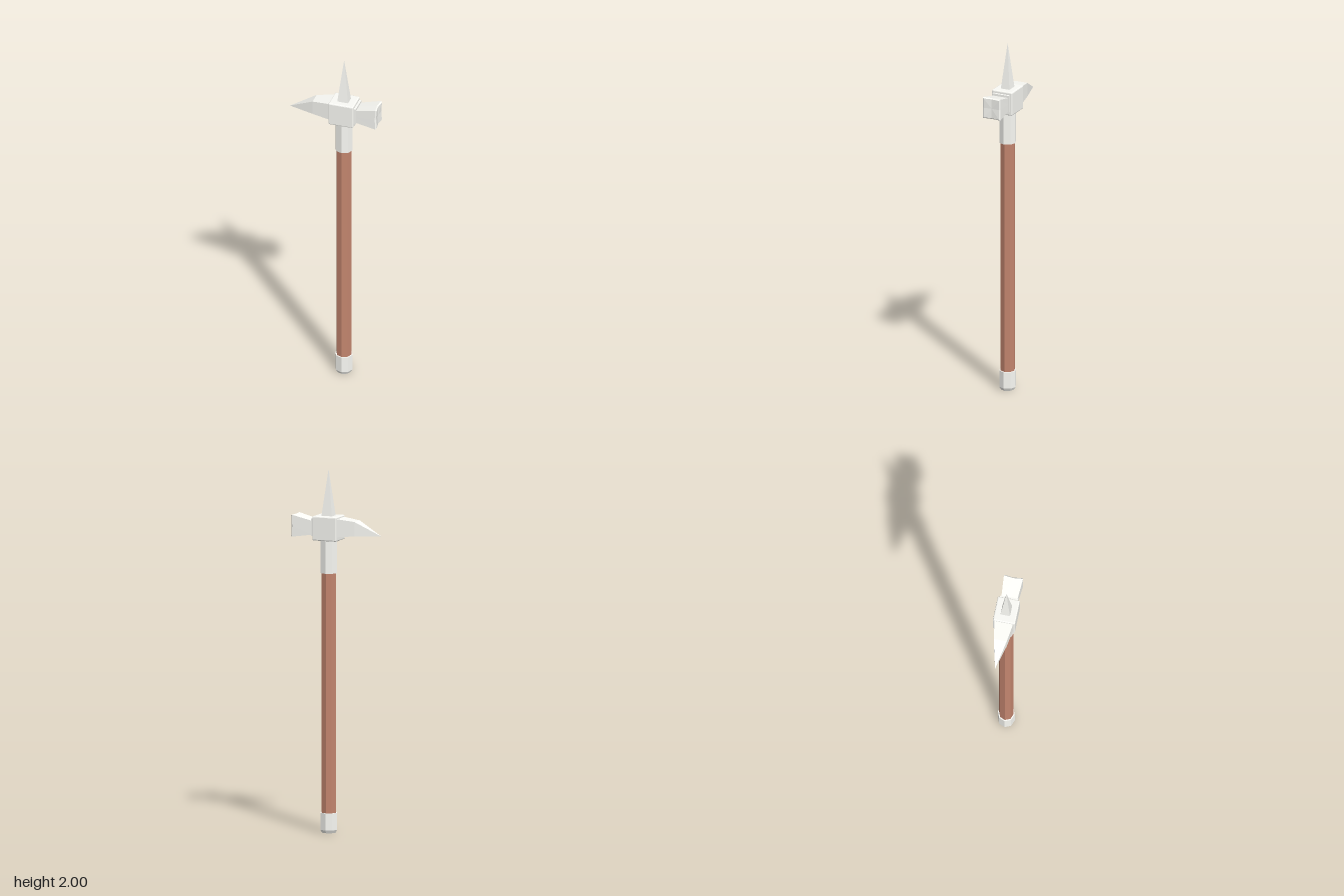
import * as THREE from 'three';
import { RoundedBoxGeometry } from 'three/addons/geometries/RoundedBoxGeometry.js';

const AXIS_X = 0.053; // centre line of the shaft
const steel = new THREE.MeshStandardMaterial({ color: 0xfbfbf6, flatShading: true });
const wood = new THREE.MeshStandardMaterial({ color: 0xc4866f, flatShading: true });

// Rectangular cross-section of 8 points; edge midpoints shift in x by dip (half as much at the sides)
function ring(x, yLow, yHigh, halfZ, dip = 0) {
  const cy = (yLow + yHigh) / 2, hy = (yHigh - yLow) / 2;
  const dirs = [[1, 0], [1, 1], [0, 1], [-1, 1], [-1, 0], [-1, -1], [0, -1], [1, -1]];
  return dirs.map(([u, v]) => {
    const shift = u && v ? 0 : u ? dip : dip / 2;
    return new THREE.Vector3(x - shift, cy + u * hy, v * halfZ);
  });
}

// Skin over rings running towards +x, closed at both ends
function loft(rings, endDip = 0) {
  const pos = [];
  const tri = (...pts) => pts.forEach((p) => pos.push(p.x, p.y, p.z));
  const centre = (r) => r.reduce((s, p) => s.add(p), new THREE.Vector3()).divideScalar(r.length);
  const first = rings[0], last = rings[rings.length - 1];
  const c0 = centre(first), c1 = centre(last);
  c1.x = last[1].x - endDip;
  for (let j = 0; j < 8; j++) {
    const k = (j + 1) % 8;
    for (let i = 0; i < rings.length - 1; i++) {
      const a = rings[i], b = rings[i + 1];
      tri(a[j], a[k], b[k]);
      tri(a[j], b[k], b[j]);
    }
    tri(c0, first[k], first[j]);
    tri(c1, last[j], last[k]);
  }
  const g = new THREE.BufferGeometry();
  g.setAttribute('position', new THREE.Float32BufferAttribute(pos, 3));
  g.computeVertexNormals();
  return g;
}

export function createModel() {
  const group = new THREE.Group();
  const add = (name, geometry, material = steel) => {
    const mesh = new THREE.Mesh(geometry, material);
    mesh.name = name;
    group.add(mesh);
    return mesh;
  };
  // Upright eight-sided section, slightly narrower in z
  const octagon = (name, y0, y1, r0, r1, material) => {
    const g = new THREE.CylinderGeometry(r1, r0, y1 - y0, 8);
    g.scale(1, 1, 0.95);
    g.translate(AXIS_X, (y0 + y1) / 2, 0);
    return add(name, g, material);
  };

  // Shaft and its metal fittings
  octagon('handle', 0.1, 1.45, 0.042, 0.042, wood);
  octagon('pommelChamfer', 0, 0.016, 0.04, 0.049);
  octagon('pommel', 0.016, 0.11, 0.049, 0.049);
  octagon('collar', 1.428, 1.62, 0.049, 0.049);

  // Head block with chamfered edges
  add('headBlock', new RoundedBoxGeometry(0.142, 0.134, 0.123, 1, 0.006))
    .position.set(AXIS_X + 0.001, 1.676, 0);

  // Four-sided top spike
  const spike = new THREE.ConeGeometry(Math.SQRT1_2, 1, 4);
  spike.rotateY(Math.PI / 4);
  spike.scale(0.062, 0.26, 0.053);
  spike.translate(AXIS_X + 0.001, 1.87, 0);
  add('topSpike', spike);

  // Drooping beak
  add('beak', loft([
    ring(-0.255, 1.646, 1.647, 0.0005),
    ring(-0.115, 1.642, 1.721, 0.036),
    ring(-0.01, 1.633, 1.734, 0.052),
  ]));

  // Neck plate and flared hammer with a hollowed face
  add('hammerNeck', loft([
    ring(0.12, 1.632, 1.728, 0.05),
    ring(0.137, 1.632, 1.728, 0.05),
  ]));
  add('hammer', loft([
    ring(0.13, 1.639, 1.714, 0.044),
    ring(0.249, 1.622, 1.743, 0.053, 0.006),
    ring(0.255, 1.628, 1.737, 0.047, 0.006),
  ], 0.006));

  return group;
}
